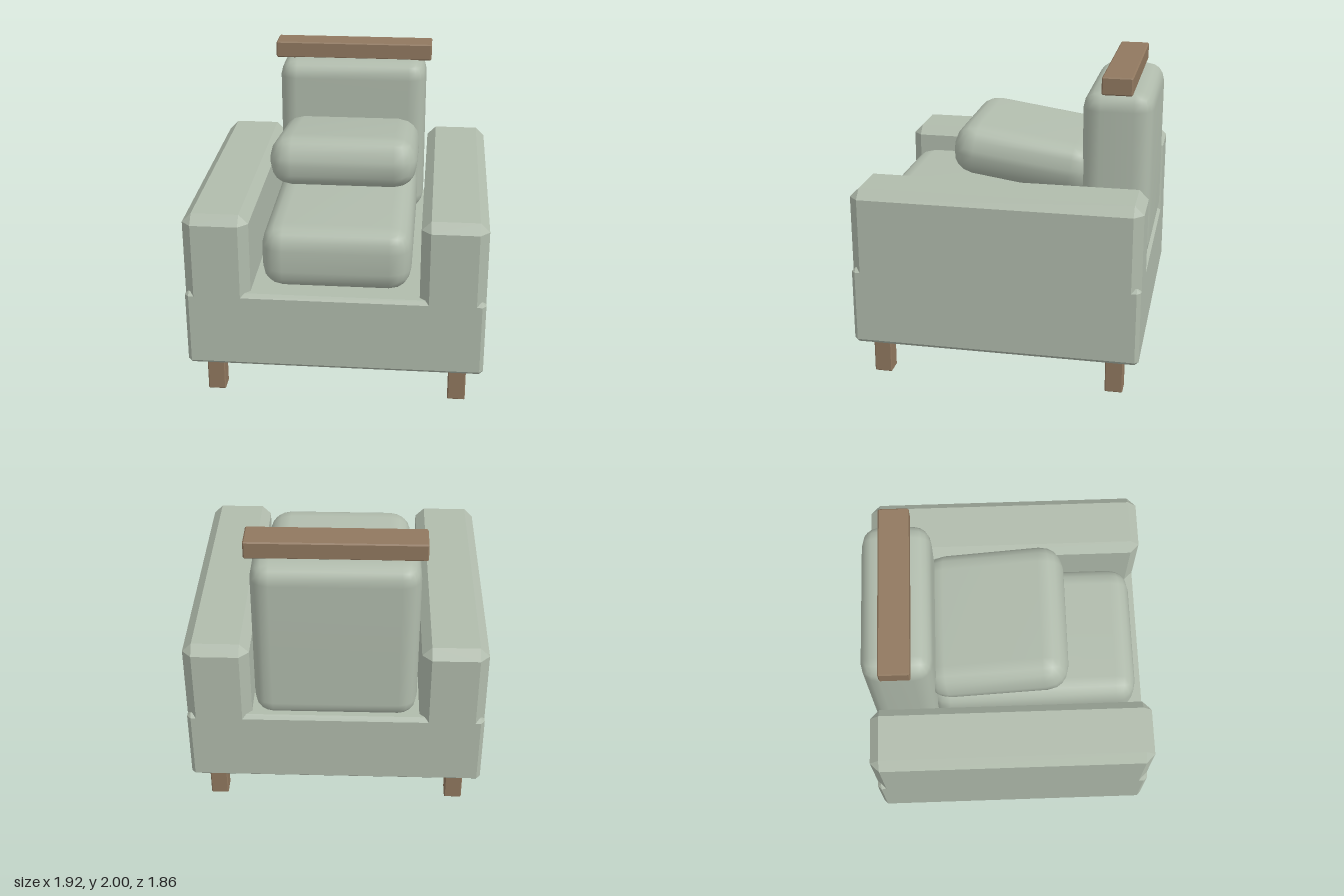
import * as THREE from 'three';
import { RoundedBoxGeometry } from 'three/addons/geometries/RoundedBoxGeometry.js';
import { ConvexGeometry } from 'three/addons/geometries/ConvexGeometry.js';
import { mergeVertices } from 'three/addons/utils/BufferGeometryUtils.js';

// Box with flat bevels of size c on all edges
function bevelBox(w, h, d, c) {
  const points = [];
  const half = [w / 2, h / 2, d / 2];
  for (const sx of [-1, 1]) for (const sy of [-1, 1]) for (const sz of [-1, 1]) {
    for (let axis = 0; axis < 3; axis++) {
      const p = half.map((v, i) => (i === axis ? v : v - c));
      points.push(new THREE.Vector3(p[0] * sx, p[1] * sy, p[2] * sz));
    }
  }
  return new ConvexGeometry(points);
}

// Soft cushion: rounded box with normals blended across all faces
function cushion(w, h, d, r) {
  let geo = new RoundedBoxGeometry(w, h, d, 2, r);
  geo.deleteAttribute('uv');
  geo.deleteAttribute('normal');
  geo = mergeVertices(geo, 1e-4);
  geo.computeVertexNormals();
  return geo;
}

export function createModel() {
  const model = new THREE.Group();
  model.name = 'armchair';
  const fabric = new THREE.MeshStandardMaterial({ color: 0xb0bbac });
  fabric.name = 'sage fabric';
  const wood = new THREE.MeshStandardMaterial({ color: 0x90785f });
  wood.name = 'brown wood';

  const add = (name, geo, material, x, y, z) => {
    const mesh = new THREE.Mesh(geo, material);
    mesh.name = name;
    mesh.position.set(x, y, z);
    model.add(mesh);
    return mesh;
  };

  // Body: low base and two tall arms standing in it
  add('base', bevelBox(1.92, 0.52, 1.86, 0.025), fabric, 0, 0.51, 0);
  for (const [side, s] of [['left', 1], ['right', -1]]) {
    add(side + 'Arm', bevelBox(0.42, 1.0, 1.86, 0.06), fabric, s * 0.75, 0.8, 0);
  }

  // Cushions
  add('seatCushion', cushion(0.96, 0.42, 1.4, 0.14), fabric, 0, 0.975, 0.155);
  add('backCushion', cushion(1.04, 1.13, 0.45, 0.12), fabric, 0, 1.325, -0.705);
  const loose = add('looseCushion', cushion(0.975, 0.34, 0.94, 0.15), fabric, 0, 1.387, -0.085);
  loose.rotation.x = -0.148;

  // Wooden head rail and four legs
  add('headRail', bevelBox(1.11, 0.115, 0.195, 0.008), wood, 0, 1.9425, -0.707);
  for (const [side, sx] of [['Left', 1], ['Right', -1]]) {
    for (const [end, z] of [['front', 0.772], ['back', -0.768]]) {
      add(end + side + 'Leg', bevelBox(0.115, 0.26, 0.115, 0.006), wood, sx * 0.797, 0.13, z);
    }
  }
  return model;
}
